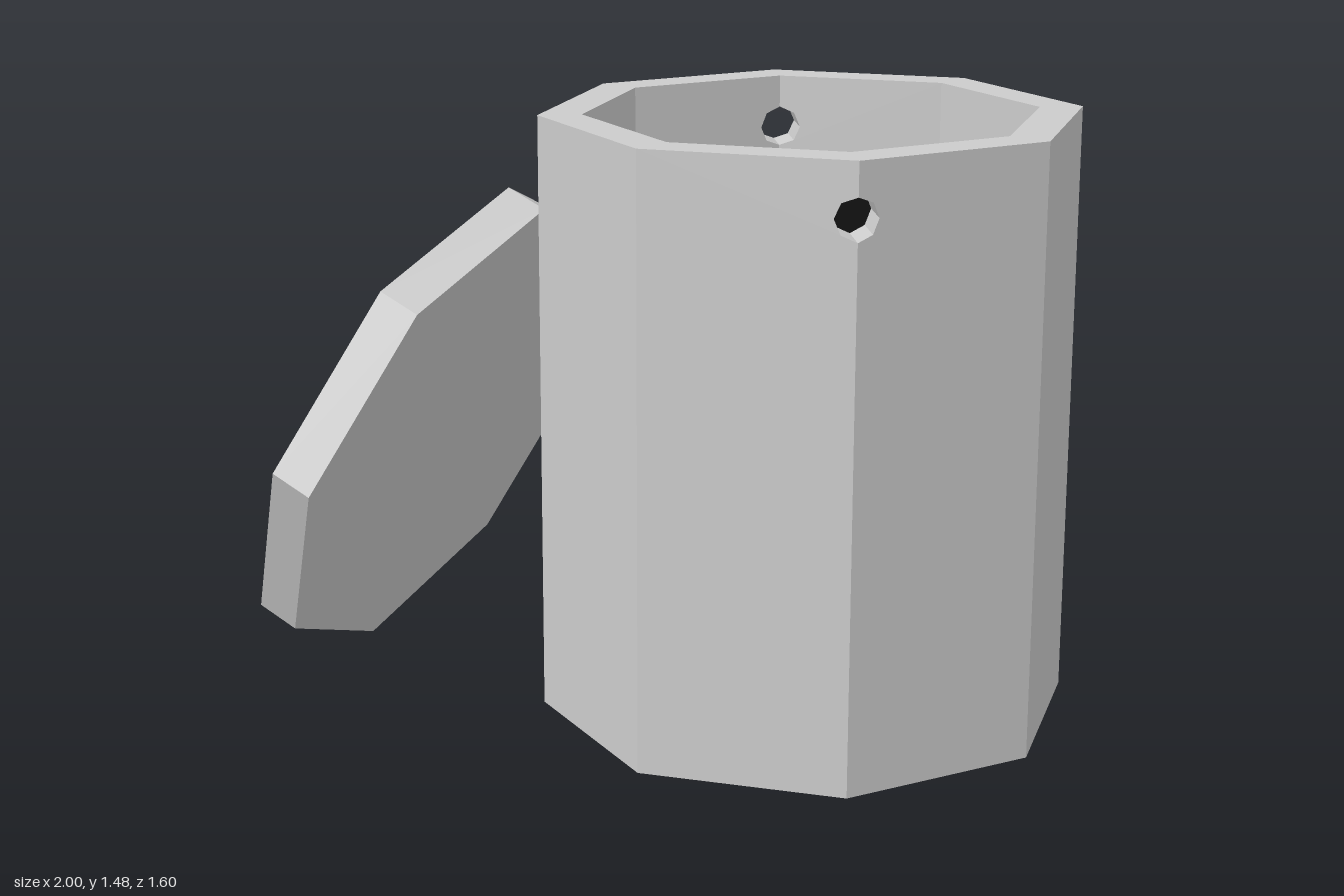
import * as THREE from 'three';

const R = 0.653, RI = 0.548;          // outer and inner corner radius of the octagon
const H = 1.475, T = Math.tan(Math.PI / 8), C = Math.SQRT1_2;
const HOLE_Y = 1.345, HOLE_R = 0.05;

const steel = new THREE.MeshStandardMaterial({ color: 0xcccccc });
steel.name = 'greyMetal';
const black = new THREE.MeshStandardMaterial({ color: 0x0d0d0d });
black.name = 'blackContents';

// Wall panel on one side (s = 1 or -1) of a corner; pierced panels carry half of the corner's hole
function panelGeometry(s, pierced) {
  const shape = new THREE.Shape();
  shape.moveTo(0, 0);
  shape.lineTo(s * R * C, 0);
  shape.lineTo(s * R * C, H);
  shape.lineTo(0, H);
  if (pierced) {
    for (let i = 0; i <= 4; i++) {
      const a = Math.PI / 2 - i * Math.PI / 4;
      shape.lineTo(i % 4 ? s * HOLE_R * Math.cos(a) : 0, HOLE_Y + HOLE_R * Math.sin(a));
    }
  }
  shape.closePath();
  const geo = new THREE.ExtrudeGeometry(shape, { depth: 1, bevelEnabled: false });
  // Lay the front cap on the outer face and the back cap on the inner face
  const p = geo.attributes.position;
  for (let i = 0; i < p.count; i++) {
    const outer = p.getZ(i) > 0.5;
    let x = Math.abs(p.getX(i));
    if (!outer && x > 0.4) x = RI * C;
    p.setX(i, s * x);
    p.setZ(i, (outer ? R : RI) - T * x);
  }
  geo.computeVertexNormals();
  return geo;
}

function createCan() {
  const can = new THREE.Group();
  can.name = 'can';
  for (let k = 0; k < 4; k++) {
    for (const s of [1, -1]) {
      const wall = new THREE.Mesh(panelGeometry(s, k % 2 === 0), steel);
      wall.name = 'wallPanel';
      wall.rotation.y = k * Math.PI / 2;
      can.add(wall);
    }
  }
  // Base plate, set slightly up inside the wall
  const base = new THREE.Mesh(new THREE.CylinderGeometry(RI, RI, 0.035, 8).toNonIndexed(), steel);
  base.geometry.computeVertexNormals();
  base.name = 'basePlate';
  base.position.y = 0.035 + 0.0175;
  can.add(base);
  // Dark contents
  const fill = new THREE.Mesh(new THREE.CircleGeometry(RI + 0.001, 8), black);
  fill.name = 'contents';
  fill.rotation.x = -Math.PI / 2;
  fill.position.y = 1.215;
  can.add(fill);
  return can;
}

// Lid with a raised rim, local y pointing out of its recessed face
function createLid() {
  const profile = [[0, -0.11], [R, -0.11], [R, 0], [RI, 0], [RI, -0.035], [0, -0.035]]
    .map(([x, y]) => new THREE.Vector2(x, y));
  const geo = new THREE.LatheGeometry(profile, 8).toNonIndexed();
  geo.computeVertexNormals();
  const lid = new THREE.Mesh(geo, steel);
  lid.name = 'lid';
  const u = new THREE.Vector3(-0.356, 0, 0.548).normalize();
  const n = new THREE.Vector3().crossVectors(u, new THREE.Vector3(0.222, 0.597, 0.154)).normalize();
  const w = new THREE.Vector3().crossVectors(u, n);
  lid.quaternion.setFromRotationMatrix(new THREE.Matrix4().makeBasis(u, n, w));
  lid.position.set(-0.591, 0.66, -0.254);
  return lid;
}

export function createModel() {
  const model = new THREE.Group();
  model.name = 'canWithLid';
  const can = createCan();
  can.position.set(0.347, 0, 0.145);
  model.add(can, createLid());
  return model;
}
